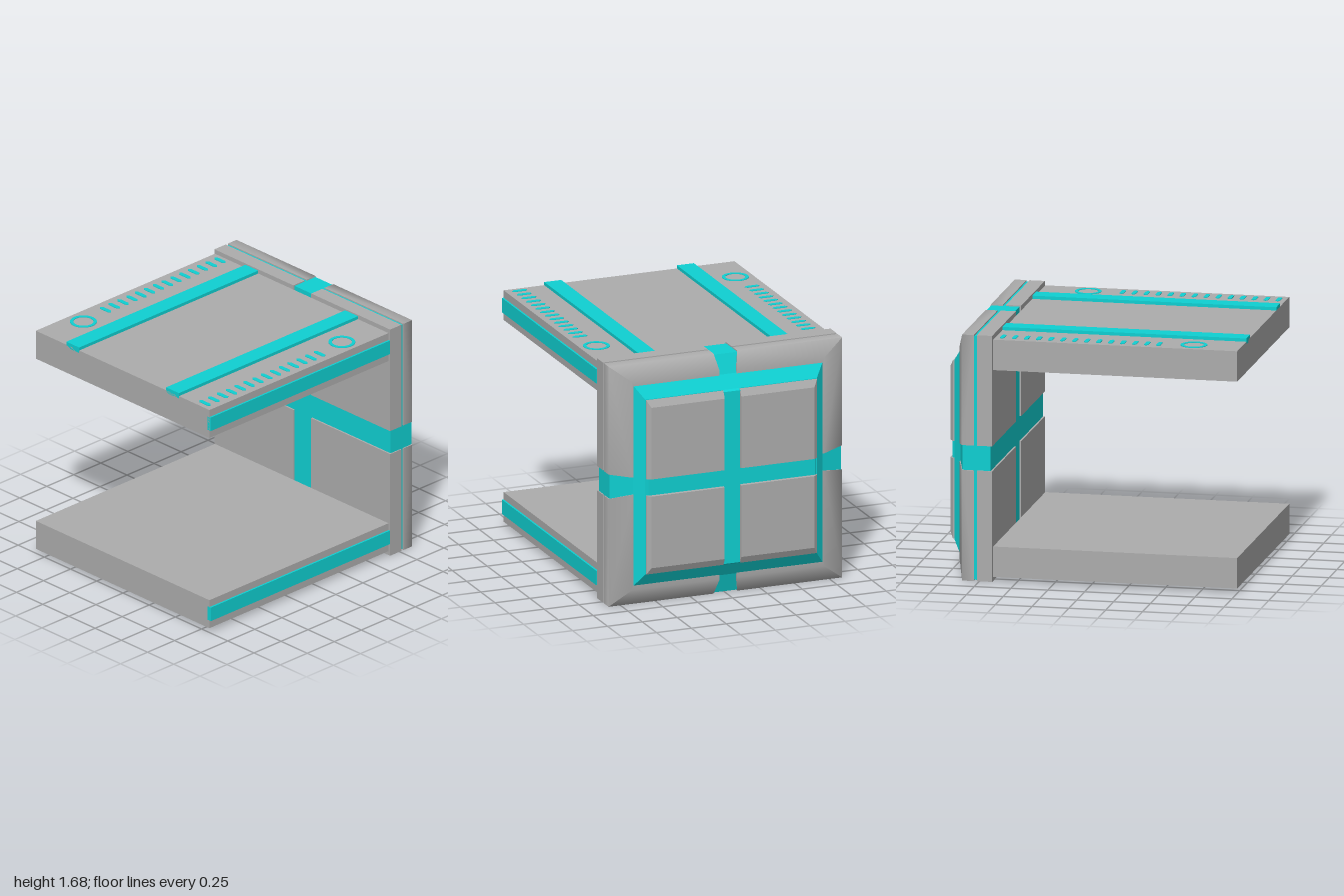
import * as THREE from 'three';
import { toCreasedNormals } from 'three/addons/utils/BufferGeometryUtils.js';

const grey = new THREE.MeshStandardMaterial({ color: 0xacacac });
grey.name = 'grey shell';
const cyan = new THREE.MeshStandardMaterial({ color: 0x0fd0d2 });
cyan.name = 'cyan trim';

function add(parent, name, geo, mat, x = 0, y = 0, z = 0) {
  const mesh = new THREE.Mesh(geo, mat);
  mesh.name = name;
  mesh.position.set(x, y, z);
  parent.add(mesh);
  return mesh;
}

function fromTriangles(points) {
  const geo = new THREE.BufferGeometry();
  geo.setAttribute('position', new THREE.Float32BufferAttribute(points.flat(), 3));
  geo.computeVertexNormals();
  return geo;
}

// Solid through rectangles [x0, x1, y0, y1, z], listed front to back
function loft(rects) {
  const rings = rects.map(([x0, x1, y0, y1, z]) => [[x0, y0, z], [x1, y0, z], [x1, y1, z], [x0, y1, z]]);
  const tris = [];
  for (let i = 0; i < rings.length - 1; i++) {
    const a = rings[i], b = rings[i + 1];
    for (let k = 0; k < 4; k++) {
      const n = (k + 1) % 4;
      tris.push(a[k], b[k], b[n], a[k], b[n], a[n]);
    }
  }
  const f = rings[0], e = rings[rings.length - 1];
  tris.push(f[0], f[1], f[2], f[0], f[2], f[3], e[0], e[2], e[1], e[0], e[3], e[2]);
  return fromTriangles(tris);
}

// Mitred L-shaped corner of the rear frame; profile rows are [x, y, gap, z]
function frameCorner(sx, sy) {
  const profile = [
    [0.8, 0.8, 0.085, -0.786],
    [0.838, 0.838, 0.085, -0.786],
    [0.838, 0.838, 0.085, -0.866],
    [0.69, 0.727, 0.06, -0.914],
    [0.665, 0.67, 0.06, -0.912],
  ];
  const stations = [
    profile.map(([x, y, g, z]) => [g * sx, y * sy, z]),
    profile.map(([x, y, g, z]) => [x * sx, y * sy, z]),
    profile.map(([x, y, g, z]) => [x * sx, g * sy, z]),
  ];
  const tris = [];
  const tri = (a, b, c) => (sx * sy > 0 ? tris.push(a, b, c) : tris.push(a, c, b));
  for (let s = 0; s < 2; s++) {
    const a = stations[s], b = stations[s + 1];
    for (let p = 0; p < profile.length - 1; p++) {
      tri(a[p], b[p], b[p + 1]);
      tri(a[p], b[p + 1], a[p + 1]);
    }
  }
  // End caps
  const [s0, , s2] = stations;
  for (let p = 1; p < profile.length - 1; p++) {
    tri(s0[0], s0[p], s0[p + 1]);
    tri(s2[0], s2[p + 1], s2[p]);
  }
  return toCreasedNormals(fromTriangles(tris), 1.3);
}

function createBackPanel() {
  const panel = new THREE.Group();
  panel.name = 'backPanel';

  // Cyan core seen through every gap
  const rect = (x, y, z) => [-x, x, -y, y, z];
  add(panel, 'core', loft([
    rect(0.83, 0.83, -0.674), rect(0.83, 0.83, -0.866),
    rect(0.68, 0.7, -0.91), rect(0.615, 0.61, -0.966),
  ]), cyan);

  // Raised cross between the rear pads
  add(panel, 'rearCrossUpright', loft([rect(0.06, 0.62, -0.95), rect(0.06, 0.6, -0.983)]), cyan);
  add(panel, 'rearCrossBar', loft([rect(0.62, 0.056, -0.95), rect(0.6, 0.056, -0.983)]), cyan);

  for (const sx of [-1, 1]) for (const sy of [-1, 1]) {
    const span = (s, a, b) => (s > 0 ? [a, b] : [-b, -a]);
    const quad = (g, x, y, z) => [...span(sx, g, x), ...span(sy, g, y), z];
    add(panel, 'frontPlate', loft([quad(0.085, 0.838, 0.838, -0.662), quad(0.085, 0.838, 0.838, -0.766)]), grey);
    add(panel, 'rearFrameCorner', frameCorner(sx, sy), grey);
    // Rear pad, bevelled on its outer edges
    add(panel, 'rearPad', loft([
      quad(0.058, 0.612, 0.607, -0.96), quad(0.058, 0.612, 0.607, -0.977),
      quad(0.06, 0.585, 0.56, -1),
    ]), grey);
  }
  return panel;
}

// Thin flat marking lying on the top slab
function marking(shape) {
  const geo = new THREE.ExtrudeGeometry(shape, { depth: 0.004, bevelEnabled: false, curveSegments: 32 });
  return geo.rotateX(-Math.PI / 2);
}

export function createModel() {
  const model = new THREE.Group();
  model.name = 'cubeShell';
  const body = new THREE.Group();
  body.name = 'body';
  body.position.x = -0.003;
  model.add(body);

  const back = createBackPanel();
  back.position.y = 0.839;
  body.add(back);

  // Slabs with one side stripe each
  const length = 1.657, midZ = 0.1715;
  for (const [name, y, stripeY] of [['topSlab', 1.546, 1.548], ['bottomSlab', 0.137, 0.14]]) {
    add(body, name, new THREE.BoxGeometry(1.656, 0.207, length), grey, 0, y, midZ);
    add(body, name + 'SideStripe', new THREE.BoxGeometry(0.03, 0.1, length), cyan, 0.826, stripeY, midZ);
  }

  // Raised rails on the top slab
  const top = 1.6495;
  for (const s of [-1, 1]) {
    add(body, 'topRail', new THREE.BoxGeometry(0.122, 0.04, length), cyan, s * 0.476, top + 0.002, midZ);
  }

  // Rows of pointed ticks, each with a ring at one end
  const tick = marking(new THREE.Shape([
    [-0.053, 0], [-0.038, -0.015], [0.038, -0.015], [0.053, 0], [0.038, 0.015], [-0.038, 0.015],
  ].map(([x, y]) => new THREE.Vector2(x, y))));
  const ringShape = new THREE.Shape().absarc(0, 0, 0.089, 0, Math.PI * 2);
  ringShape.holes.push(new THREE.Path().absarc(0, 0, 0.067, 0, Math.PI * 2, true));
  const ring = marking(ringShape);
  for (const [x, startZ, ringX, ringZ] of [[-0.73, -0.61, -0.704, 0.68], [0.734, -0.111, 0.71, -0.34]]) {
    for (let i = 0; i < 14; i++) {
      add(body, 'tickMark', tick, cyan, x, top, startZ + i * 0.0816);
    }
    add(body, 'ringMark', ring, cyan, ringX, top, ringZ);
  }
  return model;
}
